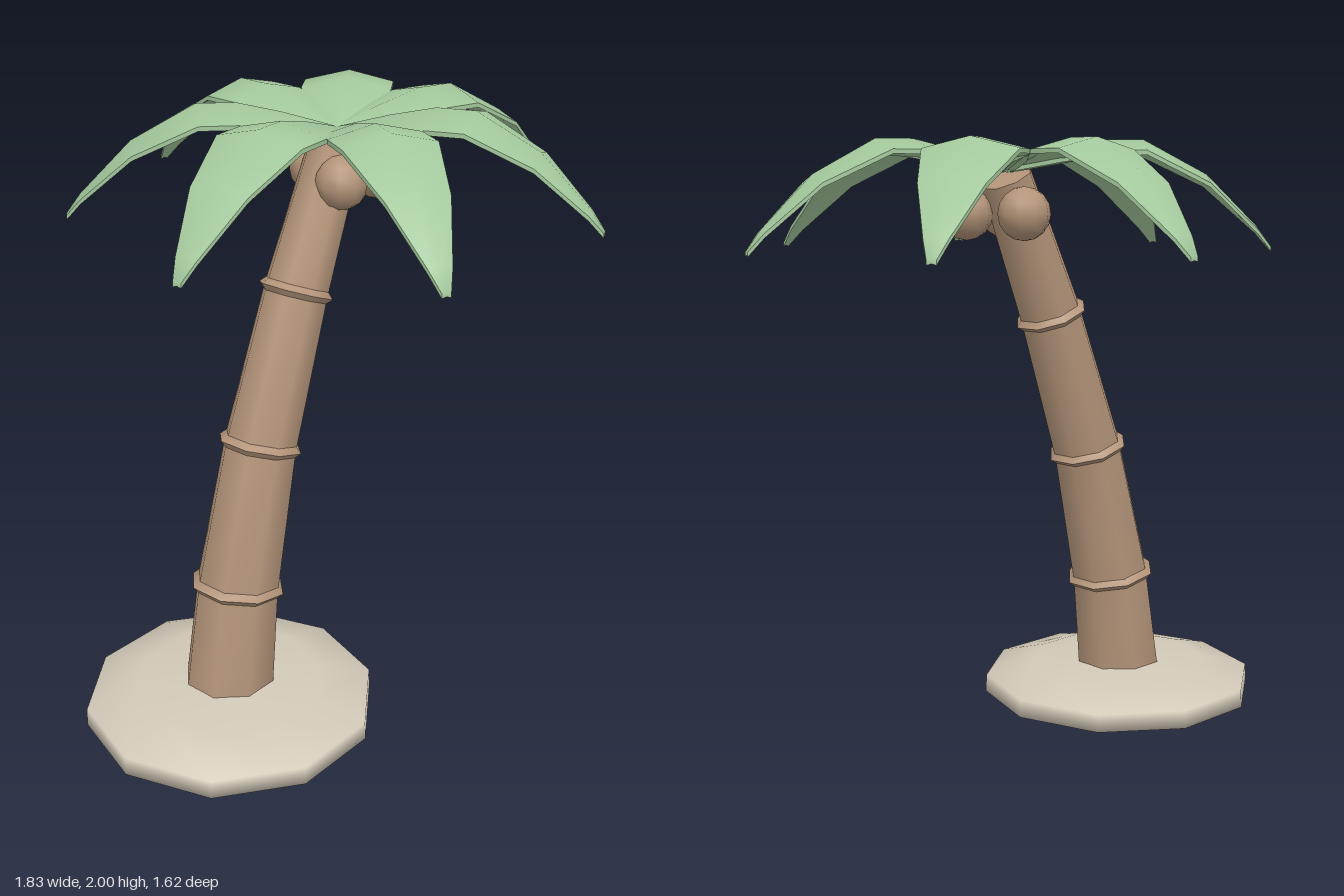
import * as THREE from 'three';
import { toCreasedNormals } from 'three/addons/utils/BufferGeometryUtils.js';

function material(name, color) {
  const m = new THREE.MeshStandardMaterial({ color });
  m.name = name;
  return m;
}

// Trunk stations: centre x, y, radius, tilt in degrees
const STATIONS = [
  [-0.435, 0.12, 0.152, 2],
  [-0.38, 0.515, 0.137, 10],
  [-0.263, 0.975, 0.119, 16.5],
  [-0.09, 1.44, 0.104, 21.5],
  [0.105, 1.88, 0.086, 26],
];
const TRUNK_Z = 0.025;

// Eight-sided cylinder bent through the stations
function trunkGeometry() {
  const n = STATIONS.length - 1;
  const g = new THREE.CylinderGeometry(1, 1, 1, 8, n, false, Math.PI / 8);
  const p = g.attributes.position;
  for (let i = 0; i < p.count; i++) {
    const [cx, cy, r, deg] = STATIONS[Math.round((p.getY(i) + 0.5) * n)];
    const t = THREE.MathUtils.degToRad(deg);
    const x = p.getX(i) * r;
    p.setXYZ(i, cx + x * Math.cos(t), cy - x * Math.sin(t), p.getZ(i) * r);
  }
  return toCreasedNormals(g, 0.9);
}

// Leaf stations: distance from crown, ridge height, half width, droop of the edges
const LEAF = [
  [0.0, 1.915, 0.02, 0.005],
  [0.17, 1.965, 0.105, 0.025],
  [0.31, 1.997, 0.146, 0.035],
  [0.43, 1.997, 0.146, 0.035],
  [0.63, 1.89, 0.098, 0.025],
  [0.79, 1.73, 0.036, 0.01],
  [0.835, 1.67, 0.014, 0.004],
];

// Thin arched blade lofted along +x
function leafGeometry() {
  const pos = [], idx = [], thick = 0.014;
  for (const [x, y, w, d] of LEAF) {
    pos.push(x, y - d, -w, x, y, 0, x, y - d, w);
    pos.push(x, y - d - thick, w, x, y - thick, 0, x, y - d - thick, -w);
  }
  const last = (LEAF.length - 1) * 6;
  for (let i = 0; i < last; i += 6) {
    for (let j = 0; j < 6; j++) {
      const k = (j + 1) % 6;
      idx.push(i + j, i + k, i + 6 + k, i + j, i + 6 + k, i + 6 + j);
    }
  }
  // blunt tip
  for (const [a, b, c] of [[0, 1, 5], [1, 4, 5], [1, 2, 4], [2, 3, 4]]) {
    idx.push(last + a, last + b, last + c);
  }
  const g = new THREE.BufferGeometry();
  g.setAttribute('position', new THREE.Float32BufferAttribute(pos, 3));
  g.setIndex(idx);
  return toCreasedNormals(g, 0.8);
}

export function createModel() {
  const model = new THREE.Group();
  model.name = 'palmTree';
  const sand = material('sand', 0xd2c9b8);
  const bark = material('bark', 0xb39479);
  const green = material('leafGreen', 0xa3c89c);

  const add = (name, geometry, mat, x = 0, y = 0, z = 0) => {
    const mesh = new THREE.Mesh(geometry, mat);
    mesh.name = name;
    mesh.position.set(x, y, z);
    model.add(mesh);
    return mesh;
  };

  // Ten-sided sand mound
  const mound = [[0, 0], [0.3, 0.022], [0.476, 0.08], [0.473, 0.14], [0.3, 0.188], [0, 0.2]]
    .map(([r, y]) => new THREE.Vector2(r, y));
  add('sandMound', new THREE.LatheGeometry(mound, 10, Math.PI / 2), sand, -0.437, 0, 0.037);

  add('trunk', trunkGeometry(), bark, 0, 0, TRUNK_Z);

  // Bevelled rings round the trunk
  for (let i = 1; i <= 3; i++) {
    const [x, y, r, deg] = STATIONS[i];
    const g = new THREE.TorusGeometry(r - 0.006, 0.024, 4, 8);
    g.rotateZ(Math.PI / 8).rotateX(Math.PI / 2);
    const ring = add('trunkRing' + i, toCreasedNormals(g, 0.9), bark, x, y, TRUNK_Z);
    ring.rotation.z = -THREE.MathUtils.degToRad(deg);
  }

  // Three coconuts under the crown
  const nut = new THREE.SphereGeometry(0.084, 10, 8);
  [[0.035, 0.1], [0.205, 0.1], [0.12, -0.075]].forEach(([x, z], i) => {
    add('coconut' + (i + 1), nut, bark, x, 1.77, z);
  });

  // Seven leaves, evenly fanned
  const leaf = leafGeometry();
  for (let i = 0; i < 7; i++) {
    const blade = add('leaf' + (i + 1), leaf, green, 0.11, 0, 0.02);
    blade.rotation.y = -(THREE.MathUtils.degToRad(17.1) + (i * Math.PI * 2) / 7);
  }
  return model;
}
